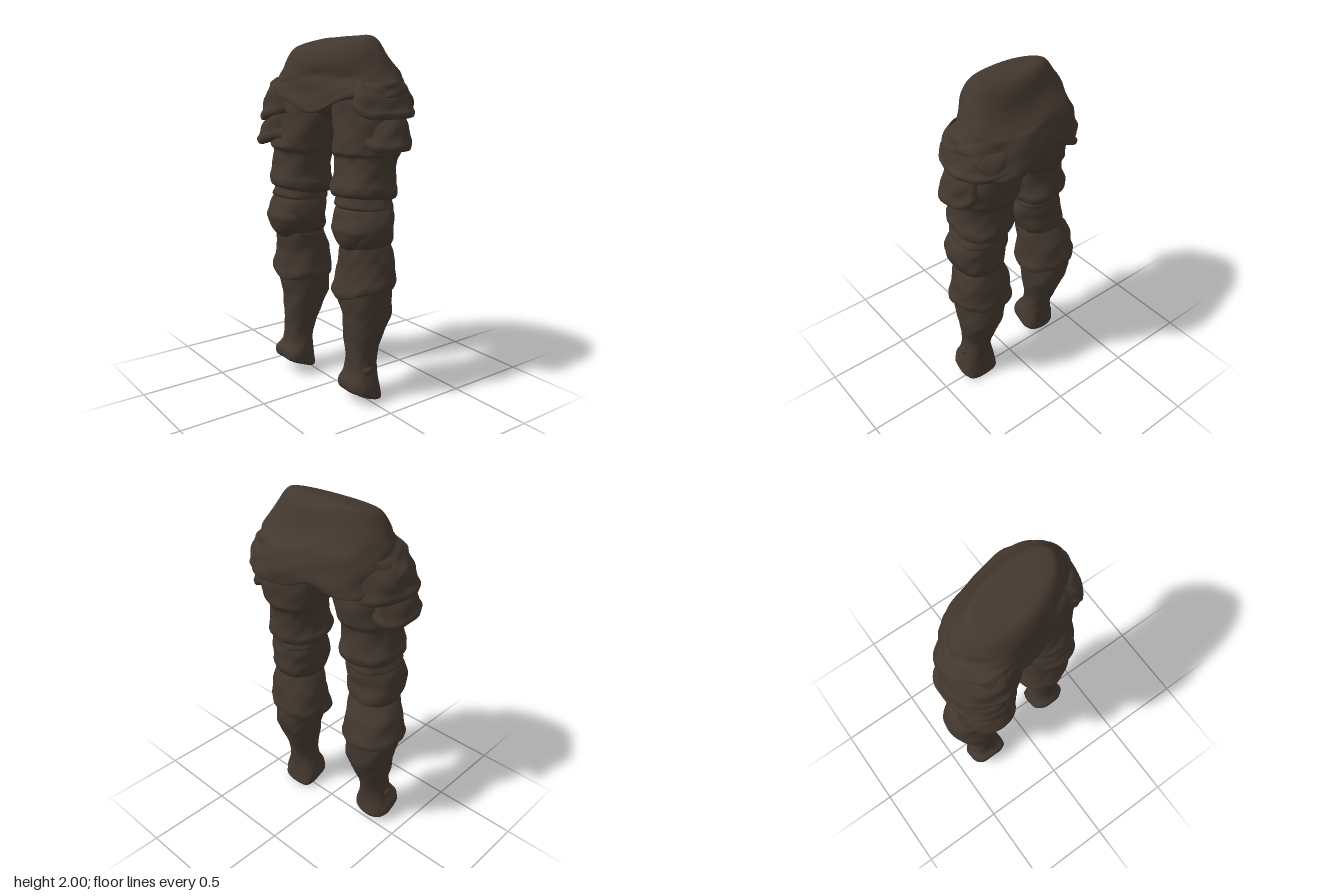
import * as THREE from 'three';

const armour = new THREE.MeshStandardMaterial({ color: 0x43382f, side: THREE.DoubleSide });
armour.name = 'darkBrownArmour';

const { sin, cos, sign, abs, exp, PI } = Math;
const rad = THREE.MathUtils.degToRad;
const lerp = THREE.MathUtils.lerp;
const smooth = THREE.MathUtils.smoothstep;

// Rounded-square cross-section point
const ringX = (t, e = 0.88) => sign(cos(t)) * abs(cos(t)) ** e;
const ringZ = (t, e = 0.88) => sign(sin(t)) * abs(sin(t)) ** e;

// Soft bump around a value
const bell = (v, c, w) => exp(-(((v - c) / w) ** 2));
const bump = (t, c, w) => bell(t * 180 / PI, c, w);

// Gentle hammered unevenness
const dent = (t, y, seed) =>
  1 + 0.018 * sin(3 * t + 19 * y + seed) + 0.015 * sin(5 * t - 31 * y + 2 * seed) + 0.01 * sin(9 * t + 57 * y);

// Skin over profile rows [halfWidth, y, halfDepth], swept from angle t0 to t1
function loft(name, rows, point, { t0 = 0, t1 = 2 * PI, n = 64, steps = 5, flip = false } = {}) {
  const curve = new THREE.CatmullRomCurve3(rows.map(r => new THREE.Vector3(...r)));
  const m = (rows.length - 1) * steps;
  const closed = t1 - t0 > 6.28;
  const cols = closed ? n : n + 1;
  const pos = [], idx = [];
  for (let j = 0; j <= m; j++) {
    const r = curve.getPoint(j / m);
    for (let i = 0; i < cols; i++) pos.push(...point(lerp(t0, t1, i / n), r));
  }
  for (let j = 0; j < m; j++) for (let i = 0; i < n; i++) {
    const k = (i + 1) % cols;
    const a = j * cols + i, b = j * cols + k, c = a + cols, d = b + cols;
    if (flip) idx.push(a, c, b, b, c, d);
    else idx.push(a, b, c, b, d, c);
  }
  const g = new THREE.BufferGeometry();
  g.setAttribute('position', new THREE.Float32BufferAttribute(pos, 3));
  g.setIndex(idx);
  g.computeVertexNormals();
  const mesh = new THREE.Mesh(g, armour);
  mesh.name = name;
  return mesh;
}

function ball(name, position, scale) {
  const mesh = new THREE.Mesh(new THREE.SphereGeometry(1, 40, 28), armour);
  mesh.name = name;
  mesh.position.set(...position);
  mesh.scale.set(...scale);
  return mesh;
}

// Leg centre-lines as [y, x, z], from hip to sole
const LEFT = {
  name: 'left', s: 1, lift: -0.005,
  line: [[1.75, 0.2, -0.06], [1.4, 0.21, -0.05], [1.2, 0.215, -0.025], [1, 0.245, -0.005], [0.8, 0.235, -0.03],
    [0.65, 0.23, -0.02], [0.5, 0.245, -0.03], [0.3, 0.25, 0.005], [0.1, 0.255, 0.025], [0, 0.255, 0.025]],
};
const RIGHT = {
  name: 'right', s: -1, lift: 0.02,
  line: [[1.75, -0.2, 0.04], [1.4, -0.22, 0.075], [1.2, -0.235, 0.075], [1, -0.25, 0.1], [0.8, -0.295, 0.035],
    [0.65, -0.3, 0.03], [0.5, -0.29, 0.02], [0.3, -0.29, 0.06], [0.1, -0.29, 0.1], [0, -0.29, 0.1]],
};
function centre(line, y) {
  let i = 0;
  while (i < line.length - 2 && line[i + 1][0] > y) i++;
  const [a, b] = [line[i], line[i + 1]];
  const k = THREE.MathUtils.clamp((a[0] - y) / (a[0] - b[0]), 0, 1);
  return [lerp(a[1], b[1], k), lerp(a[2], b[2], k)];
}

function makeLeg(side) {
  const { s, line, lift } = side;
  const leg = new THREE.Group();
  leg.name = side.name + 'Leg';
  const flip = s < 0;
  const add = (name, rows, shift = () => 0, swell = () => 1) => leg.add(loft(name, rows, (t, r) => {
    const [cx, cz] = centre(line, r.y);
    const d = dent(t, r.y, s) * swell(t, r);
    const e = lerp(0.68, 0.88, smooth(r.y, 0.05, 0.25));
    return [cx + s * r.x * ringX(t, e) * d, r.y + shift(t, r), cz + r.z * ringZ(t, e) * d];
  }, { flip }));

  // Thigh plates, fuller behind, with rolled lower rim
  add('thighPlate', [[0.001, 1.76, 0.001], [0.17, 1.75, 0.15], [0.195, 1.66, 0.165], [0.2, 1.54, 0.167],
    [0.182, 1.43, 0.175], [0.174, 1.39, 0.178], [0.163, 1.36, 0.16], [0.158, 1.28, 0.162], [0.164, 1.23, 0.172],
    [0.173, 1.2, 0.179], [0.166, 1.165, 0.172], [0.135, 1.145, 0.14], [0.001, 1.145, 0.001]],
  (t, r) => 0.02 * sin(t + 0.5) * smooth(1.45 - r.y, 0, 0.15),
  (t, r) => 1 + 0.13 * bump(t, 270, 45) * bell(r.y, 1.5, 0.1));

  // Narrow lame above the knee
  add('upperKneeLame', [[0.001, 1.17, 0.001], [0.132, 1.165, 0.14], [0.142, 1.135, 0.15], [0.15, 1.105, 0.154],
    [0.13, 1.085, 0.13], [0.001, 1.085, 0.001]], t => 0.015 * sin(t));

  // Knee joint, pinched between two bands
  add('kneeJoint', [[0.001, 1.12, 0.001], [0.135, 1.115, 0.135], [0.16, 1.065, 0.156], [0.164, 0.99, 0.155],
    [0.15, 0.93, 0.15], [0.13, 0.885, 0.13], [0.125, 0.84, 0.125], [0.001, 0.83, 0.001]]);

  // Domed knee cap, tapering to a point below
  const [kx, kz] = centre(line, 1);
  const knee = ball('kneeCap', [kx, 0.985, kz + 0.07], [0.142, 0.125, 0.1]);
  const p = knee.geometry.attributes.position;
  for (let i = 0; i < p.count; i++) {
    const y = p.getY(i);
    if (y < 0) p.setX(i, p.getX(i) * (1 + 0.35 * y));
    p.setZ(i, p.getZ(i) * (1 + 0.08 * bell(y, 0.1, 0.14)));
  }
  knee.geometry.computeVertexNormals();
  leg.add(knee);

  // Flared cuff below the knee, ridged and dipping at the front
  add('shinCuff', [[0.001, 0.91, 0.001], [0.128, 0.9, 0.128], [0.143, 0.87, 0.136], [0.16, 0.8, 0.144],
    [0.172, 0.71, 0.158], [0.181, 0.67, 0.166], [0.174, 0.64, 0.161], [0.14, 0.635, 0.132], [0.001, 0.64, 0.001]],
  (t, r) => smooth(0.95 - r.y, 0, 0.25) * (0.02 * cos(t) - 0.035 * bump(t, 95, 40)),
  t => 1 + 0.05 * bump(t, 90, 12));

  // Shin, ankle and blunt foot with the sole rising toward the toe
  add('shinAndFoot', [[0.001, 0.7, 0.001], [0.15, 0.69, 0.14], [0.145, 0.6, 0.148], [0.13, 0.5, 0.134],
    [0.108, 0.4, 0.115], [0.083, 0.3, 0.095], [0.084, 0.22, 0.086], [0.1, 0.15, 0.088], [0.117, 0.09, 0.102],
    [0.117, 0.055, 0.102], [0.105, 0.04, 0.09], [0.001, 0.05, 0.001]],
  (t, r) => smooth(0.22 - r.y, 0, 0.14) * (0.4 * r.z * ringZ(t, 0.68) + lift));

  // Ankle buckle
  const [ax, az] = centre(line, 0.19);
  leg.add(ball('ankleBuckle', [ax + s * 0.07, 0.19, az + 0.01], [0.03, 0.03, 0.035]));
  return leg;
}

// Curved hip plate: arc around the outer thigh with a turned-in lower rim
function hipPlate(name, s, cx, cz, top, bottom, rx, rz, from, to) {
  const h = top - bottom;
  const rows = [[rx - 0.07, top, rz - 0.07], [rx - 0.03, top - 0.35 * h, rz - 0.025], [rx - 0.014, top - 0.7 * h, rz - 0.012],
    [rx, bottom + 0.025, rz], [rx - 0.008, bottom, rz - 0.008], [rx - 0.07, bottom + 0.01, rz - 0.07]];
  const t0 = rad(from), t1 = rad(to);
  return loft(name, rows, (t, r) => {
    const u = abs((t - t0) / (t1 - t0) * 2 - 1);
    const d = dent(t, r.y, s + 3) * (1 - 0.27 * smooth(u, 0.72, 1));
    return [cx + s * r.x * ringX(t, 0.9) * d, r.y + 0.05 * smooth(u, 0.5, 1), cz + r.z * ringZ(t, 0.9) * d];
  }, { t0, t1, n: 40, flip: s < 0 });
}

// Hip shell: turned sideways, top slanting forward, lower edge scalloped
function makeHips() {
  const yaw = rad(18);
  const rows = [[0.001, 1.981, 0.001], [0.14, 1.98, 0.07], [0.24, 1.976, 0.125], [0.27, 1.957, 0.146],
    [0.315, 1.89, 0.178], [0.365, 1.79, 0.205], [0.4, 1.7, 0.225], [0.425, 1.61, 0.24], [0.42, 1.58, 0.236],
    [0.37, 1.59, 0.19], [0.25, 1.66, 0.12], [0.001, 1.67, 0.001]];
  return loft('hipShell', rows, (t, r) => {
    const low = smooth(1.93 - r.y, 0, 0.15);
    const skirt = smooth(1.85 - r.y, 0, 0.2);
    // Swells over the right hip and over each buttock, with a cleft between
    const swell = 1 + 0.12 * bump(t, 134, 20) + skirt * (0.13 * bump(t, 246, 15) + 0.07 * bump(t, 299, 16));
    const d = lerp(1, dent(t, r.y, 5) * swell, low);
    const lx = r.x * ringX(t, 0.9) * d, lz = r.z * ringZ(t, 0.9) * d;
    const x = lx * cos(yaw) + lz * sin(yaw);
    const z = -lx * sin(yaw) + lz * cos(yaw);
    const back = smooth(-sin(t), 0.1, 0.6);
    const edge = lerp(1.68, 1.58, back) - 0.08 * bump(t, 94, 17) + 0.04 * bump(t, 270, 9);
    // Top slopes down to the front and rounds off behind its ridge
    const slant = 0.03 * x - 0.27 * Math.max(z, -0.05) - 3.5 * Math.min(z + 0.05, 0) ** 2;
    let y = r.y + smooth(r.y, 1.74, 1.93) * slant;
    if (r.y < 1.78) y = lerp(1.78, edge, (1.78 - r.y) / 0.2);
    return [x, y, z + lerp(0.01, -0.03, low)];
  }, { n: 96 });
}

export function createModel() {
  const model = new THREE.Group();
  model.name = 'legArmour';
  model.add(makeHips(), makeLeg(LEFT), makeLeg(RIGHT));
  model.add(
    ball('crotch', [-0.005, 1.67, 0], [0.1, 0.12, 0.15]),
    hipPlate('leftUpperHipPlate', 1, 0.2, -0.07, 1.74, 1.58, 0.235, 0.235, -105, 75),
    hipPlate('leftLowerHipPlate', 1, 0.22, -0.075, 1.61, 1.415, 0.25, 0.175, -65, 75),
    hipPlate('rightUpperHipPlate', -1, -0.21, 0.07, 1.73, 1.54, 0.242, 0.243, -95, 110),
    hipPlate('rightLowerHipPlate', -1, -0.225, 0.085, 1.57, 1.405, 0.25, 0.23, -65, 105),
  );
  return model;
}
